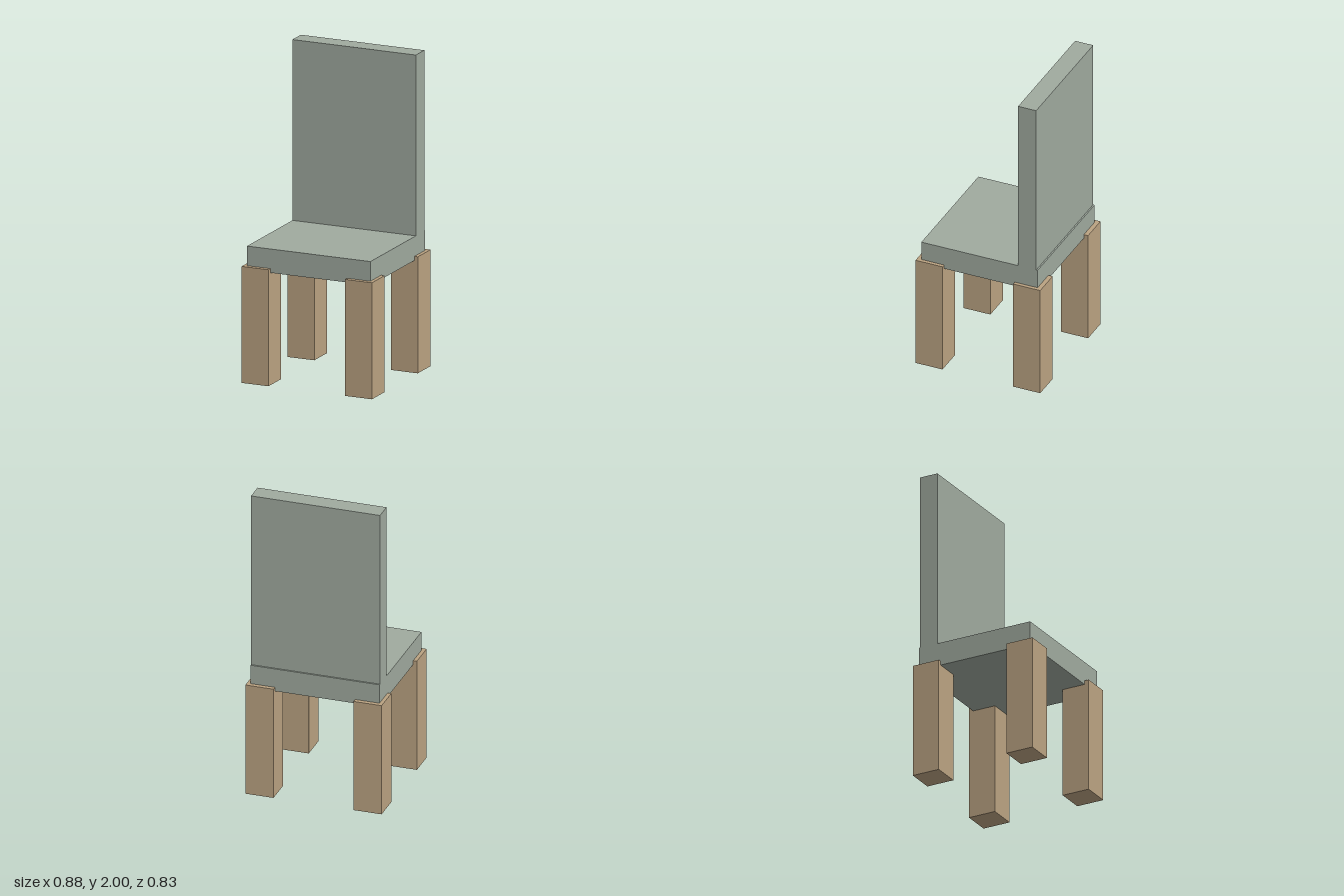
import * as THREE from 'three';

export function createModel() {
  const model = new THREE.Group();
  model.name = 'chair';
  const fabric = new THREE.MeshStandardMaterial({ color: 0xa0aa9f });
  const wood = new THREE.MeshStandardMaterial({ color: 0xbba382 });

  // Box given by its size, centre x and z, and bottom height
  const addBox = (name, material, [w, h, d], x, bottom, z) => {
    const mesh = new THREE.Mesh(new THREE.BoxGeometry(w, h, d), material);
    mesh.name = name;
    mesh.position.set(x, bottom + h / 2, z);
    model.add(mesh);
  };

  // Seat cushion and upright backrest, set slightly in from the rear edge
  addBox('seat', fabric, [0.83, 0.15, 0.778], 0, 0.709, 0);
  addBox('backrest', fabric, [0.83, 1.141, 0.121], 0, 0.859, -0.319);

  // Four square legs that wrap the seat corners
  for (const [side, x] of [['Left', 0.348], ['Right', -0.348]]) {
    for (const [end, z] of [['front', 0.327], ['back', -0.327]]) {
      addBox(`${end}${side}Leg`, wood, [0.181, 0.735, 0.181], x, 0, z);
    }
  }
  return model;
}
